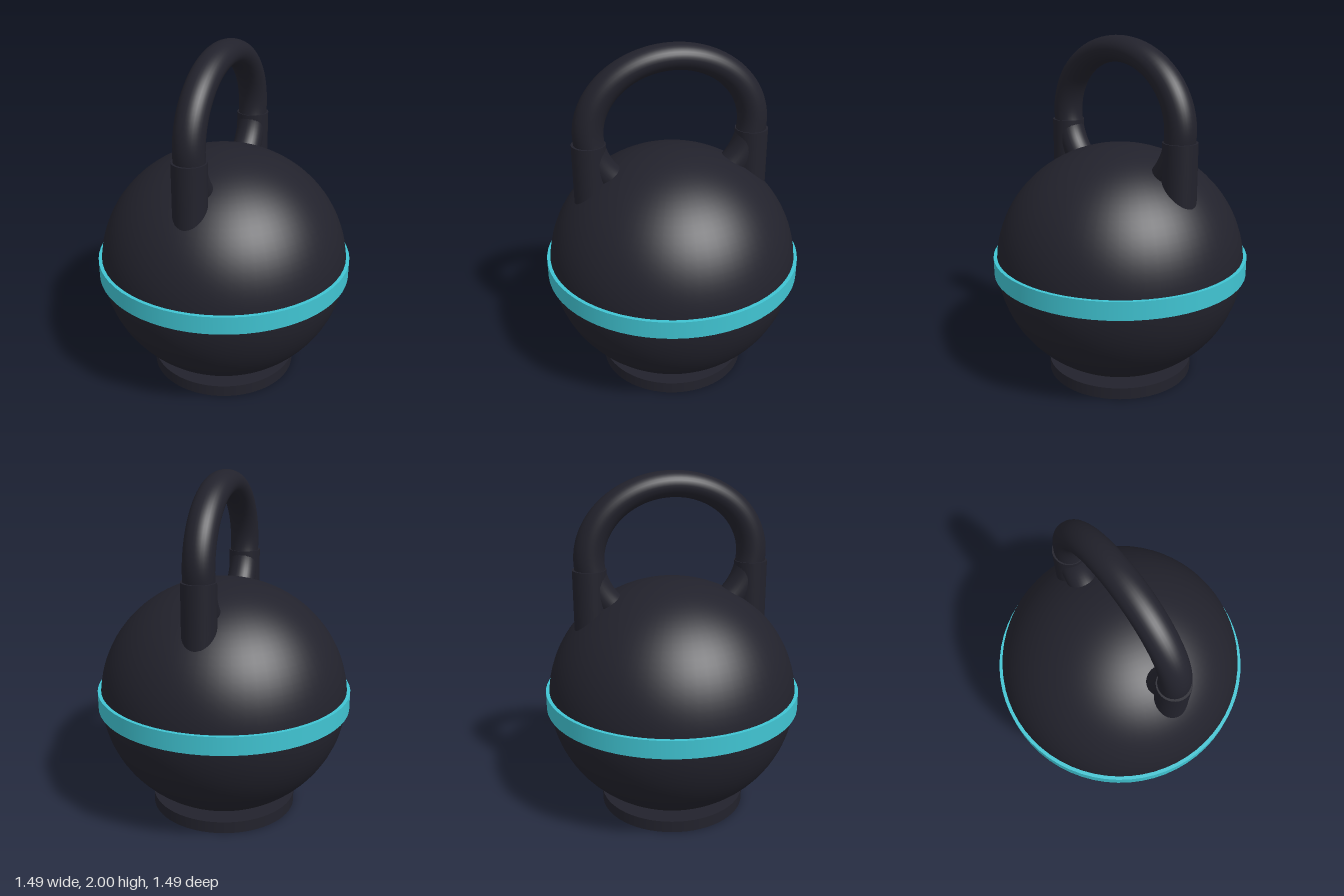
import * as THREE from 'three';

export function createModel() {
  const iron = new THREE.MeshStandardMaterial({ color: 0x22222c });
  iron.name = 'dark iron';
  const turquoise = new THREE.MeshStandardMaterial({ color: 0x40c4d2 });
  turquoise.name = 'turquoise';

  const model = new THREE.Group();
  model.name = 'kettlebell';
  const add = (parent, name, geometry, material, x, y, z) => {
    const mesh = new THREE.Mesh(geometry, material);
    mesh.name = name;
    mesh.position.set(x, y, z);
    parent.add(mesh);
    return mesh;
  };

  // Slightly flattened ball
  add(model, 'ball', new THREE.SphereGeometry(0.727, 64, 48), iron, 0, 0.7, 0).scale.y = 0.95;

  // Flat foot
  add(model, 'base', new THREE.CylinderGeometry(0.433, 0.433, 0.07, 64), iron, 0, 0.035, 0);

  // Square-edged band round the middle
  add(model, 'band', new THREE.CylinderGeometry(0.745, 0.745, 0.104, 64), turquoise, 0, 0.698, 0);

  // Handle turned about the vertical axis
  const handle = new THREE.Group();
  handle.name = 'handle';
  handle.rotation.y = THREE.MathUtils.degToRad(20);
  model.add(handle);

  // Flattened ring whose lower half sinks into the ball
  add(handle, 'grip', new THREE.TorusGeometry(0.47, 0.085, 32, 96), iron, 0, 1.528, 0).scale.y = 0.85;

  // Sleeves joining the grip to the ball
  for (const [side, name] of [[1, 'leftSleeve'], [-1, 'rightSleeve']]) {
    add(handle, name, new THREE.CylinderGeometry(0.095, 0.095, 0.4, 32), iron, side * 0.47, 1.278, 0);
  }

  return model;
}
